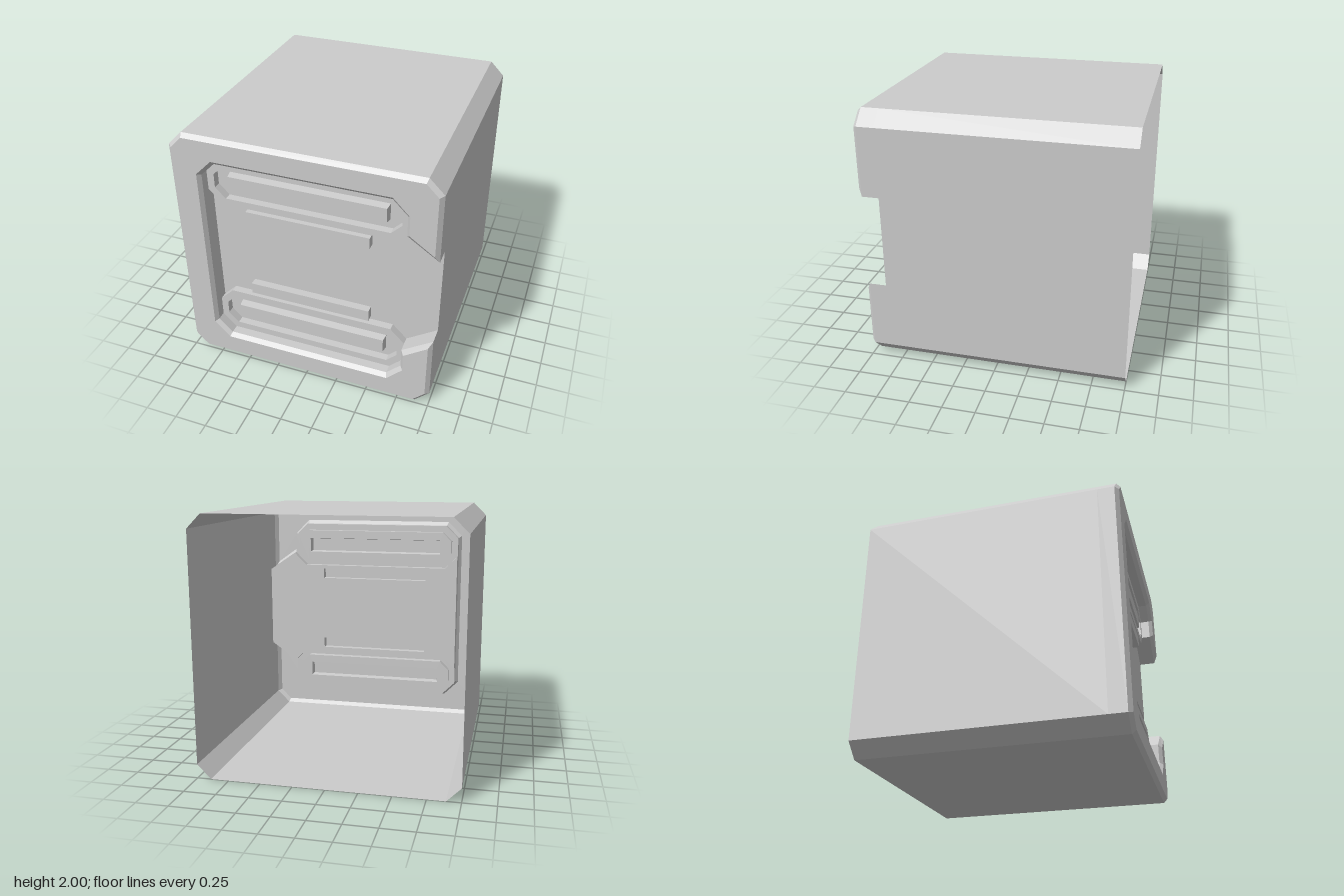
import * as THREE from 'three';

const FRONT = 1, RIM = 0.97, RAISED = 0.9, FLOOR = 0.84, BACK = -1;
const material = new THREE.MeshStandardMaterial({ color: 0xcccccc, flatShading: true, side: THREE.DoubleSide });

// Mirror an upper half outline about y = 1 and join both halves into one loop
const mirrored = (half) => [...half, ...half.map(([x, y]) => [x, 2 - y]).reverse()];

const octagon = (w, h, c, cy) => [
  [-w, cy + h - c], [-w + c, cy + h], [w - c, cy + h], [w, cy + h - c],
  [w, cy - h + c], [w - c, cy - h], [-w + c, cy - h], [-w, cy - h + c],
];

const rectangle = (w, h, cy) => [[-w, cy + h], [w, cy + h], [w, cy - h], [-w, cy - h]];

// Flat sheet facing forward, with optional holes
function sheet(outline, z, holes = []) {
  const toVectors = (pts) => pts.map(([x, y]) => new THREE.Vector2(x, y));
  const shape = new THREE.Shape(toVectors(outline));
  shape.holes = holes.map((hole) => new THREE.Path(toVectors(hole)));
  return new THREE.ShapeGeometry(shape).translate(0, 0, z);
}

// Band of quads joining outline a at depth za to outline b at depth zb
function band(a, za, b, zb, closed = true) {
  const pos = [];
  const count = closed ? a.length : a.length - 1;
  for (let i = 0; i < count; i++) {
    const j = (i + 1) % a.length;
    const p = [...a[i], za], q = [...a[j], za], r = [...b[j], zb], s = [...b[i], zb];
    pos.push(...p, ...q, ...r, ...p, ...r, ...s);
  }
  const g = new THREE.BufferGeometry();
  g.setAttribute('position', new THREE.Float32BufferAttribute(pos, 3));
  g.computeVertexNormals();
  return g;
}

export function createModel() {
  const model = new THREE.Group();
  const add = (name, geometry, parent = model) => {
    const mesh = new THREE.Mesh(geometry, material);
    mesh.name = name;
    parent.add(mesh);
  };

  // Front frame: a C-shaped face open on the right, bevelled all round
  const face = mirrored([
    [-0.97, 1.88], [-0.88, 1.97], [0.88, 1.97], [0.97, 1.88], [0.97, 1.415],
    [0.787, 1.545], [0.787, 1.695], [0.665, 1.82], [-0.665, 1.82], [-0.79, 1.695],
  ]);
  const rim = mirrored([
    [-1, 1.89], [-0.89, 2], [0.89, 2], [1, 1.89], [1, 1.36],
    [0.765, 1.52], [0.765, 1.68], [0.655, 1.79], [-0.655, 1.79], [-0.765, 1.68],
  ]);
  add('frontFrame', sheet(face, FRONT));
  add('frameBevel', band(face, FRONT, rim, RIM));

  // Shell: eight-sided tube, open at the back, with a notch in the right wall
  const outer = octagon(1, 1, 0.11, 1);
  const notched = [...rim.slice(15), ...rim.slice(0, 5)];
  add('shellWalls', band(outer, FLOOR, outer, BACK));
  add('shellFrontEdge', band(notched, RIM, notched, FLOOR, false));

  // Recessed panel floor and its walls, with openings under the raised bars
  const floor = mirrored([[-0.765, 1.52], [-0.655, 1.41], [0.655, 1.41], [0.765, 1.52], [1, 1.36]]);
  const bars = [1.335, 0.665].map((y) => rectangle(0.48, 0.0455, y));
  add('recessFloor', sheet(floor, FLOOR, bars));
  const leftWall = [[-0.765, 1.52], [-0.765, 0.48]];
  add('recessLeftWall', band(leftWall, RIM, leftWall, FLOOR, false));
  for (const outline of bars) {
    add('raisedBarFront', sheet(outline, RAISED));
    add('raisedBarSides', band(outline, RAISED, outline, FLOOR));
  }

  for (const side of [1, -1]) {
    const cy = 1 + side * 0.6;
    const slot = new THREE.Group();
    slot.name = side > 0 ? 'upperSlot' : 'lowerSlot';
    model.add(slot);

    // Diagonal wall of the notch and recess wall around the slot
    const flip = ([x, y]) => [x, side > 0 ? y : 2 - y];
    const diagonal = [[1, 1.36], [0.765, 1.52]].map(flip);
    const surround = [...rim.slice(5, 10), [-0.765, 1.52]].map(flip);
    add('notchWall', band(diagonal, RIM, diagonal, FLOOR, false), slot);
    add('recessWall', band(surround, RIM, surround, RAISED, false), slot);

    // Raised ring around a sunken pan
    const ring = octagon(0.765, 0.19, 0.11, cy);
    const pan = octagon(0.71, 0.135, 0.08, cy);
    add('ring', sheet(ring, RAISED, [pan]), slot);
    const exposed = [[0.765, 1.52], [0.655, 1.41], [-0.655, 1.41], [-0.765, 1.52]].map(flip);
    add('ringOuterWall', band(exposed, RAISED, exposed, FLOOR, false), slot);
    add('ringInnerWall', band(pan, RAISED, pan, FLOOR), slot);

    // Long tapered bar in the pan
    const base = rectangle(0.607, 0.064, cy);
    const top = rectangle(0.599, 0.056, cy);
    add('pan', sheet(pan, FLOOR, [base]), slot);
    add('barSides', band(top, RAISED, base, FLOOR), slot);
    add('barFront', sheet(top, RAISED), slot);
  }
  return model;
}
